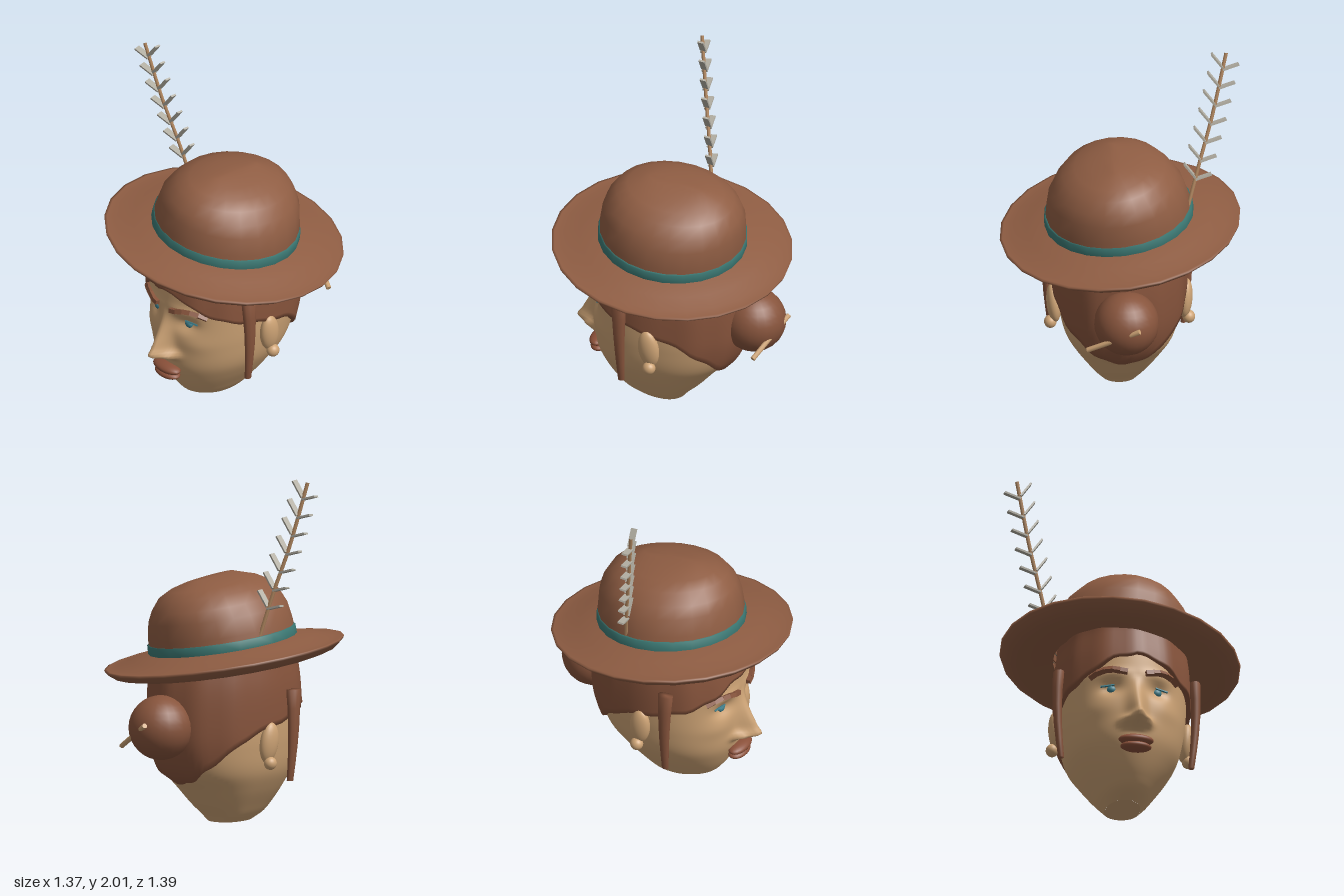
import * as THREE from 'three';

const mat = (name, color, side = THREE.FrontSide) => {
  const m = new THREE.MeshStandardMaterial({ color, side });
  m.name = name;
  return m;
};

// Smooth table lookup: rows of [key, value, value...]
function table(rows) {
  const n = rows[0].length - 1;
  const it = new THREE.CubicInterpolant(rows.map(r => r[0]), rows.flatMap(r => r.slice(1)), n);
  return t => Array.from(it.evaluate(t));
}

// Closed rings from bottom to top; fn(row, angle) gives a point, angle 0 faces +z
function loft(rows, cols, fn) {
  const pos = [], idx = [];
  for (let i = 0; i < rows; i++)
    for (let j = 0; j < cols; j++) pos.push(...fn(i, (j / cols) * Math.PI * 2));
  for (let i = 0; i < rows - 1; i++)
    for (let j = 0; j < cols; j++) {
      const k = (j + 1) % cols;
      const a = i * cols + j, b = i * cols + k, c = a + cols, d = b + cols;
      idx.push(a, b, d, a, d, c);
    }
  const g = new THREE.BufferGeometry();
  g.setAttribute('position', new THREE.Float32BufferAttribute(pos, 3));
  g.setIndex(idx);
  g.computeVertexNormals();
  return g;
}

// Head cross-section by height: half width, front z, back z
const section = table([
  [0, .1, .2, -.08], [.04, .14, .28, -.115], [.1, .185, .335, -.18], [.2, .255, .395, -.27],
  [.3, .31, .435, -.365], [.45, .345, .45, -.43], [.6, .36, .45, -.45], [.8, .365, .445, -.45], [.96, .35, .43, -.43]]);
const noseHeight = table([[.33, 0], [.355, .07], [.38, .13], [.43, .105], [.52, .055], [.6, .02], [.67, 0]]);
const bump = (x, y, cx, cy, wx, wy) => Math.exp(-(((x - cx) / wx) ** 2) - ((y - cy) / wy) ** 2);

function ringPoint(y, a, grow = 0) {
  const [w, zf, zb] = section(y), c = Math.cos(a), k = Math.abs(c) ** .87, zc = .03;
  return [(w + grow) * Math.sin(a), y, c > 0 ? zc + (zf + grow - zc) * k : zc - (zc - zb + grow) * k];
}

// Nose, nostrils, eye sockets and brow ridge
function features(x, y) {
  const s = Math.abs(x), wide = .042 + .018 * bump(0, y, 0, .37, 1, .04);
  const nose = y > .33 && y < .67 ? noseHeight(y)[0] * Math.exp(-((x / wide) ** 2)) : 0;
  return nose + .035 * bump(s, y, .07, .375, .025, .025) - .035 * bump(s, y, .135, .595, .065, .045)
    + .012 * bump(s, y, .13, .68, .1, .03) + .01 * bump(s, y, .2, .47, .08, .06);
}

function headPoint(y, a) {
  const p = ringPoint(y, a);
  if (Math.cos(a) > 0) p[2] += features(p[0], y);
  return p;
}
const faceZ = (x, y) => headPoint(y, Math.asin(x / section(y)[0]))[2];

export function createModel() {
  const skin = mat('skin', 0xcda375), hair = mat('hair brown', 0x87543c, THREE.DoubleSide);
  const felt = mat('hat brown', 0x8f5d43, THREE.DoubleSide), teal = mat('band teal', 0x3c7a75, THREE.DoubleSide);
  const iris = mat('eye teal', 0x3f7f8c), lip = mat('lip brown', 0x8a5039);
  const quillTan = mat('quill tan', 0xb58a62), barbGrey = mat('feather grey', 0xb3afa3);
  const model = new THREE.Group();

  const add = (name, geo, material, parent = model) => {
    const m = new THREE.Mesh(geo, material);
    m.name = name;
    parent.add(m);
    return m;
  };
  const ball = (name, material, p, s) => {
    const m = add(name, new THREE.SphereGeometry(1, 24, 16), material);
    m.position.set(...p);
    m.scale.set(...s);
    return m;
  };
  // Box or cylinder laid between two points
  const between = (name, geo, material, a, b, parent = model) => {
    const m = add(name, geo, material, parent);
    m.position.copy(a).lerp(b, .5);
    m.quaternion.setFromUnitVectors(new THREE.Vector3(0, 1, 0), b.clone().sub(a).normalize());
    return m;
  };
  const V = (x, y, z) => new THREE.Vector3(x, y, z);

  // Head, with columns packed closer on the face, and flat neck cap
  add('head', loft(61, 96, (i, u) => headPoint(i / 60 * .93, u - .45 * Math.sin(u))), skin);
  const neck = new THREE.Shape();
  for (let j = 0; j < 40; j++) {
    const p = ringPoint(0, j / 40 * Math.PI * 2);
    j ? neck.lineTo(p[0], p[2]) : neck.moveTo(p[0], p[2]);
  }
  add('neckCap', new THREE.ShapeGeometry(neck).rotateX(Math.PI / 2), skin);

  // Hair cap: high over the forehead, dropping to a point at the nape
  const edge = table([[0, .8], [20, .77], [40, .7], [59, .65], [92, .575], [112, .5], [123, .44], [143, .34], [165, .26], [180, .24]]);
  add('hair', loft(16, 72, (i, a) => {
    const deg = THREE.MathUtils.radToDeg(Math.min(a, Math.PI * 2 - a));
    const low = edge(deg)[0] + .006 * Math.sin(a * 14);
    const [x0, , z0] = ringPoint(.8, a);
    const top = .955 + .1 * z0 - .11 * x0;
    const t = Math.max(0, i - 1) / 14;
    const grow = i === 0 ? -.02 : .026 - .012 * t + .004 * Math.cos(a * 12);
    return ringPoint(low + (top - low) * t, a, grow);
  }), hair);

  // Bun with a stick through it
  ball('bun', hair, [0, .585, -.5], [.185, .185, .185]);
  const s0 = V(.23, .465, -.585), s1 = V(-.06, .62, -.69);
  between('bunStick', new THREE.CylinderGeometry(.015, .015, s0.distanceTo(s1), 8), skin, s0, s1);

  for (const s of [1, -1]) {
    const side = s > 0 ? 'left' : 'right';

    // Hanging sidelock, tapering downwards
    add(side + 'Sidelock', loft(8, 10, (i, a) => {
      const t = Math.min(1, Math.max(0, (i - 1) / 5)), r = i === 0 || i === 7 ? 0 : 1;
      return [s * (.378 + .024 * Math.sin(t * 2.4)) + r * (.017 + .015 * t) * Math.sin(a), .25 + .525 * t,
        .16 + .01 * t + r * (.02 + .027 * t) * Math.cos(a)];
    }), hair);

    // Ear and round earring
    ball(side + 'Ear', skin, [s * .375, .485, -.005], [.042, .118, .062]).rotation.set(.1, 0, s * -.08);
    ball(side + 'Earring', skin, [s * .395, .37, -.015], [.036, .038, .038]);

    // Eye and upper lash
    ball(side + 'Eye', iris, [s * .13, .593, faceZ(.13, .593) - .004], [.028, .025, .02]);
    const l0 = V(s * .12, .615, faceZ(.12, .615) + .006), l1 = V(s * .195, .608, faceZ(.195, .608) + .004);
    between(side + 'Lash', new THREE.BoxGeometry(.009, l0.distanceTo(l1), .009), iris, l0, l1);

    // Segmented eyebrow
    const brow = [[.055, .68], [.095, .687], [.135, .697], [.175, .698], [.215, .688], [.25, .668]]
      .map(([x, y]) => V(s * x, y, faceZ(x, y) + .01));
    for (let k = 0; k < 5; k++)
      between(side + 'Eyebrow', new THREE.BoxGeometry(.026, brow[k].distanceTo(brow[k + 1]) + .004, .03), hair, brow[k], brow[k + 1]);
  }

  // Lips
  ball('upperLip', lip, [0, .266, .44], [.102, .03, .055]);
  ball('lowerLip', lip, [0, .226, .435], [.09, .027, .055]);

  // Tilted hat
  const hat = new THREE.Group();
  hat.name = 'hat';
  hat.position.y = 1;
  hat.rotation.set(-.1, 0, -.11);
  model.add(hat);
  // Crown pinched sideways towards a ridge
  const crown = [[.415, .42, -.02], [.413, .42, .1], [.388, .412, .2], [.35, .39, .265], [.295, .345, .33],
    [.22, .285, .368], [.14, .21, .392], [.05, .16, .41], [0, 0, .411]];
  add('crown', loft(crown.length, 24, (i, a) =>
    [crown[i][0] * Math.sin(a), crown[i][2], crown[i][1] * Math.cos(a)]), felt, hat);
  const brim = [[.38, -.08], [.48, -.092], [.58, -.1], [.64, -.085], [.685, -.05], [.69, -.036],
    [.675, -.034], [.62, -.03], [.53, -.004], [.46, .012], [.41, .022]];
  add('brim', new THREE.LatheGeometry(brim.map(p => new THREE.Vector2(...p)), 24), felt, hat);
  add('hatBand', new THREE.LatheGeometry([[.415, .012], [.428, .014], [.426, .07], [.412, .072]]
    .map(p => new THREE.Vector2(...p)), 24), teal, hat);

  // Feather: curved quill with seven pairs of flat barbs
  const feather = new THREE.Group();
  feather.name = 'feather';
  model.add(feather);
  const quill = new THREE.CatmullRomCurve3([V(-.375, 1.07, -.095), V(-.45, 1.35, -.05), V(-.53, 1.63, .005), V(-.615, 1.998, .065)]);
  add('quill', new THREE.TubeGeometry(quill, 16, .011, 6), quillTan, feather);
  for (let k = 0; k < 7; k++) {
    const y = 1.265 + k * .106, t = (y - 1.07) / .928;
    const p = quill.getPointAt(t);
    for (const [dx, dy, name] of [[-.094, .026, 'outerBarb'], [.062, .088, 'innerBarb']]) {
      const a = p.clone();
      if (dx > 0) a.y += .015;
      const b = a.clone().add(V(dx, dy, dx < 0 ? .012 : -.008));
      between(name, new THREE.BoxGeometry(.011, a.distanceTo(b), .036), barbGrey, a, b, feather);
    }
  }
  return model;
}
